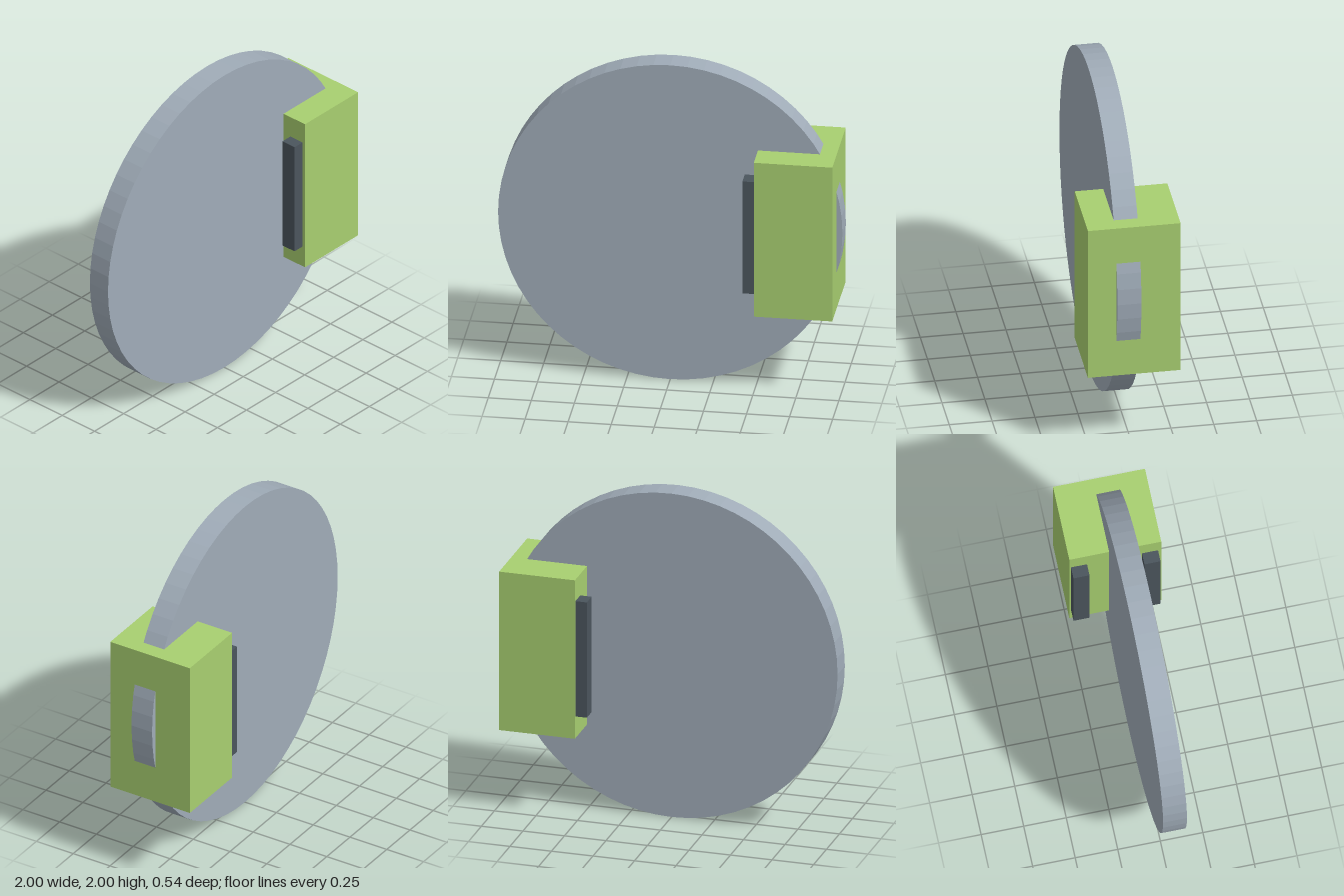
import * as THREE from 'three';

export function createModel() {
  const group = new THREE.Group();

  const add = (name, geometry, color, x, y, z) => {
    const material = new THREE.MeshStandardMaterial({ color, flatShading: true });
    const mesh = new THREE.Mesh(geometry, material);
    mesh.name = name;
    mesh.position.set(x, y, z);
    group.add(mesh);
    return mesh;
  };

  // Brake disc, standing upright with its axis along z
  const disc = new THREE.CylinderGeometry(1, 1, 0.14, 64);
  disc.rotateX(Math.PI / 2);
  add('brakeDisc', disc, 0xa0acb8, 0, 1, 0.034);

  // Caliper block gripping the disc's left edge
  add('caliper', new THREE.BoxGeometry(0.456, 0.98, 0.54), 0xa8cf70, 0.737, 1.002, 0);

  // Pads on both sides of the disc, standing out of the caliper's inner face
  for (const [name, z] of [['frontPad', 0.204], ['backPad', -0.213]]) {
    add(name, new THREE.BoxGeometry(0.12, 0.713, 0.094), 0x4b555d, 0.5, 1.003, z);
  }

  return group;
}
